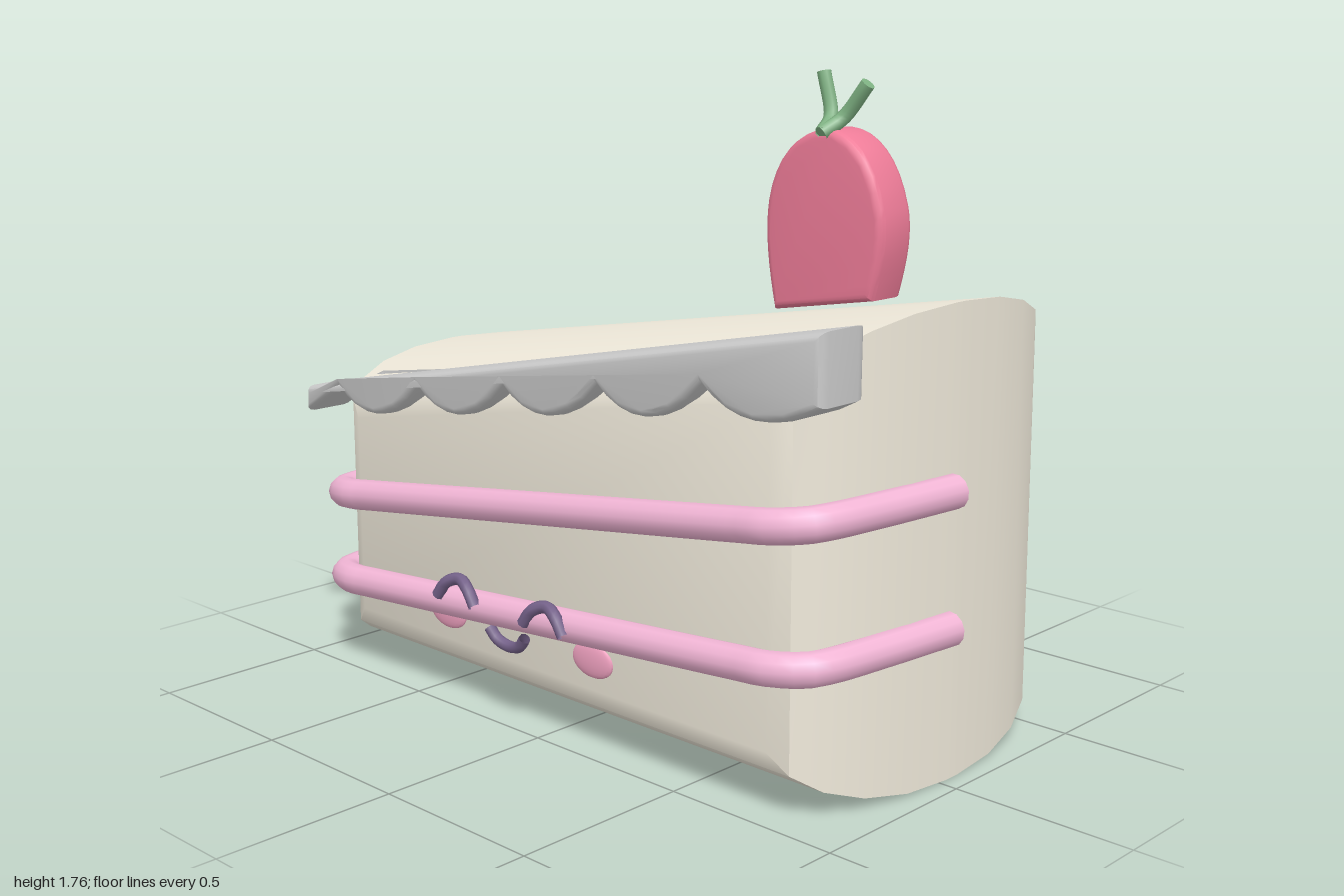
import * as THREE from 'three';
import { toCreasedNormals } from 'three/addons/utils/BufferGeometryUtils.js';

const mat = (color) => new THREE.MeshStandardMaterial({ color, side: THREE.DoubleSide });
const sponge = mat(0xf0eadb), cream = mat(0xcccccc), jam = mat(0xf2b6d6);
const ink = mat(0x75628a), blush = mat(0xf2a3c2), berry = mat(0xee7c98), leaf = mat(0x7fb283);

const v3 = (p) => new THREE.Vector3(...p);

function add(parent, name, geometry, material) {
  const mesh = new THREE.Mesh(geometry, material);
  mesh.name = name;
  parent.add(mesh);
  return mesh;
}

// Bevelled slab whose widest outline is the given shape, lying between zBack and zFront
function slab(shape, zBack, zFront, thickness, size, segments, crease) {
  const geo = new THREE.ExtrudeGeometry(shape, {
    depth: zFront - zBack - 2 * thickness,
    bevelThickness: thickness, bevelSize: size, bevelOffset: -size,
    bevelSegments: segments, curveSegments: 8,
  });
  geo.translate(0, 0, zBack + thickness);
  return toCreasedNormals(geo, crease);
}

function tube(points, radius, segments, sides = 10) {
  const curve = new THREE.CatmullRomCurve3(points.map(v3), false, 'centripetal');
  return new THREE.TubeGeometry(curve, segments, radius, sides);
}

// Disc that closes the end of a tube
function cap(parent, name, at, toward, radius, material) {
  const disc = add(parent, name, new THREE.CircleGeometry(radius, 10), material);
  disc.position.set(...at);
  disc.lookAt(v3(toward));
}

export function createModel() {
  const cake = new THREE.Group();
  cake.name = 'cakeSlice';

  // Pillowy wedge of cake
  const wedge = new THREE.Shape([[-0.955, 0], [0.95, 0], [0.935, 1.22], [-0.955, 0.895]]
    .map((p) => new THREE.Vector2(...p)));
  add(cake, 'cakeBody', slab(wedge, -0.57, 0.47, 0.5, 0.175, 5, 0.85), sponge);

  // Scalloped cream along the front top edge
  const icing = new THREE.Shape();
  icing.moveTo(-0.97, 0.82);
  icing.lineTo(-0.97, 0.745);
  icing.lineTo(-0.815, 0.84);
  for (let i = 0; i < 5; i++) {
    const x = -0.815 + i * 0.352, y = 0.84 + i * 0.0525;
    const last = i === 4;
    icing.bezierCurveTo(x + 0.09, y - 0.085, x + 0.23, y - 0.085,
      last ? 0.96 : x + 0.352, last ? 1.045 : y + 0.0525);
  }
  icing.lineTo(0.96, 1.22);
  add(cake, 'creamTrim', slab(icing, 0.35, 0.515, 0.03, 0.02, 3, 0.8), cream);

  // Two filling bands wrapping the front and both ends
  for (const [name, yl, yr] of [['upperFilling', 0.51, 0.757], ['lowerFilling', 0.26, 0.405]]) {
    const y = (x) => yl + (yr - yl) * (x + 0.9) / 1.8;
    add(cake, name, tube([
      [-0.96, yl, 0.04], [-0.935, yl, 0.22], [-0.905, yl, 0.4], [-0.88, y(-0.88), 0.455],
      [-0.8, y(-0.8), 0.492], [-0.7, y(-0.7), 0.495], [0, y(0), 0.495], [0.7, y(0.7), 0.495],
      [0.8, y(0.8), 0.492], [0.88, y(0.88), 0.455], [0.905, yr, 0.4], [0.93, yr, 0.22], [0.955, yr, -0.02],
    ], 0.044, 80, 12), jam);
  }

  // Closed smiling eyes, mouth and cheeks
  for (const [name, x] of [['rightEye', -0.28], ['leftEye', 0.068]]) {
    add(cake, name, tube([
      [x - 0.077, 0.328, 0.538], [x - 0.045, 0.37, 0.535], [x, 0.387, 0.525],
      [x + 0.045, 0.37, 0.535], [x + 0.077, 0.328, 0.538],
    ], 0.017, 16, 8), ink);
  }
  add(cake, 'mouth', tube([
    [-0.175, 0.272, 0.51], [-0.15, 0.243, 0.505], [-0.105, 0.23, 0.5],
    [-0.06, 0.243, 0.505], [-0.035, 0.272, 0.51],
  ], 0.016, 16, 8), ink);
  for (const [name, x] of [['rightCheek', -0.393], ['leftCheek', 0.183]]) {
    const cheek = add(cake, name, new THREE.SphereGeometry(1, 20, 12), blush);
    cheek.scale.set(0.075, 0.047, 0.012);
    cheek.position.set(x, 0.256, 0.47);
  }

  // Flat strawberry on top
  const fruit = new THREE.Shape();
  fruit.moveTo(0.39, 1.145);
  fruit.lineTo(0.705, 1.2);
  fruit.bezierCurveTo(0.735, 1.3, 0.745, 1.37, 0.73, 1.43);
  fruit.bezierCurveTo(0.7, 1.55, 0.63, 1.615, 0.55, 1.618);
  fruit.bezierCurveTo(0.46, 1.61, 0.385, 1.54, 0.365, 1.43);
  fruit.bezierCurveTo(0.35, 1.35, 0.365, 1.25, 0.39, 1.145);
  add(cake, 'strawberry', slab(fruit, -0.115, 0.015, 0.02, 0.02, 3, 0.7), berry);

  // Forked stem
  const root = [0.55, 1.608, 0.02];
  for (const [name, mid, tip] of [
    ['rightStem', [0.537, 1.645, -0.03], [0.505, 1.755, -0.04]],
    ['leftStem', [0.578, 1.645, -0.03], [0.645, 1.73, -0.04]],
  ]) {
    add(cake, name, tube([root, mid, tip], 0.019, 12, 8), leaf);
    const beyond = tip.map((t, i) => 2 * t - mid[i]);
    cap(cake, name + 'Tip', tip, beyond, 0.019, leaf);
  }
  cap(cake, 'stemRoot', root, [0.55, 1.58, 0.06], 0.019, leaf);

  return cake;
}
